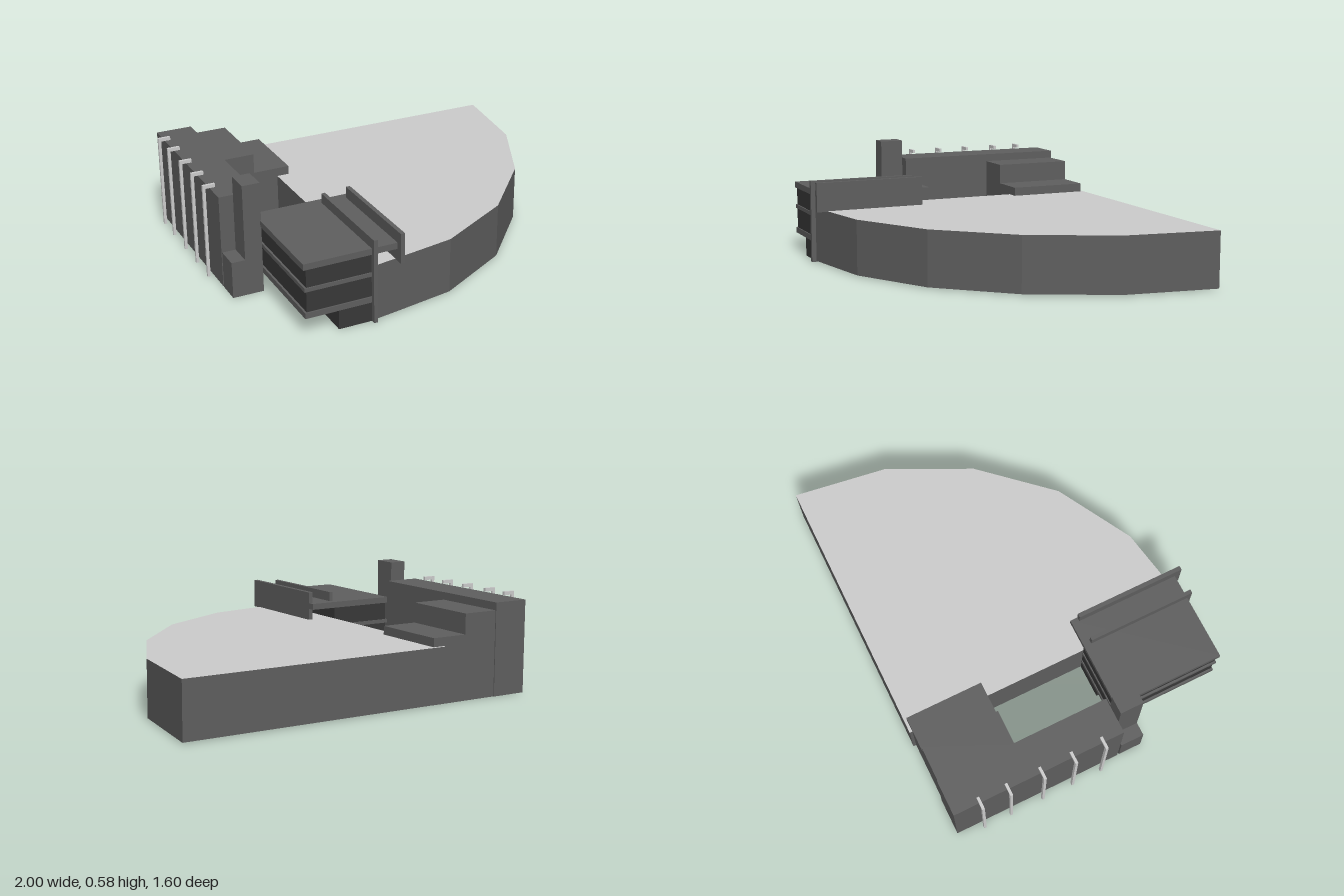
import * as THREE from 'three';

const paint = (color) => new THREE.MeshStandardMaterial({ color, flatShading: true });

export function createModel() {
  const model = new THREE.Group();
  const dark = paint(0x5e5e5e);
  const panel = paint(0x383838);
  const light = paint(0xcccccc);

  // Box given by its limits on each axis
  function block(name, [x0, x1], [y0, y1], [z0, z1], material = dark, parent = model) {
    const mesh = new THREE.Mesh(new THREE.BoxGeometry(x1 - x0, y1 - y0, z1 - z0), material);
    mesh.position.set((x0 + x1) / 2, (y0 + y1) / 2, (z0 + z1) / 2);
    mesh.name = name;
    parent.add(mesh);
    return mesh;
  }

  // Fan-shaped deck in two stacked bands, with a pale top
  const outline = [
    [-0.45, -0.8], [1, -0.8], [0.93, -0.31], [0.72, 0.12],
    [0.4, 0.47], [0, 0.69], [-0.31, 0.745], [-0.45, 0.768],
  ];
  const fan = new THREE.Shape(outline.map(([x, z]) => new THREE.Vector2(x, -z)).reverse());
  function band(name, y0, y1, materials) {
    const geometry = new THREE.ExtrudeGeometry(fan, { depth: y1 - y0, bevelEnabled: false });
    geometry.rotateX(-Math.PI / 2);
    const mesh = new THREE.Mesh(geometry, materials);
    mesh.position.y = y0;
    mesh.name = name;
    model.add(mesh);
  }
  band('lowerDeck', 0.005, 0.148, [dark, dark]);
  band('upperDeck', 0.148, 0.29, [light, dark]);

  // Long rear hall stepping down towards the deck
  const hall = new THREE.Group();
  hall.name = 'rearHall';
  model.add(hall);
  block('hallMain', [-0.96, -0.77], [0, 0.48], [-0.79, 0.13], dark, hall);
  block('hallMiddleStep', [-0.77, -0.58], [0, 0.44], [-0.785, -0.37], dark, hall);
  block('hallLowStep', [-0.58, -0.385], [0, 0.335], [-0.785, -0.37], dark, hall);

  // Hooked pipes along the outer wall of the hall
  for (const z of [-0.65, -0.5, -0.32, -0.15, 0.015]) {
    const pipe = new THREE.Group();
    pipe.name = 'wallPipe';
    model.add(pipe);
    block('pipeUpright', [-1, -0.985], [0.01, 0.505], [z - 0.007, z + 0.007], light, pipe);
    block('pipeHook', [-0.985, -0.935], [0.487, 0.505], [z - 0.007, z + 0.007], light, pipe);
  }

  // Tower with a low annex
  block('tower', [-0.89, -0.8], [0, 0.58], [0.14, 0.265]);
  block('towerAnnex', [-0.96, -0.89], [0, 0.19], [0.14, 0.265]);

  // Front building: floors overhanging a narrower base
  const front = new THREE.Group();
  front.name = 'frontBuilding';
  model.add(front);
  block('base', [-0.63, -0.45], [0, 0.1], [0.18, 0.765], panel, front);
  for (const [y0, y1] of [[0.13, 0.237], [0.257, 0.35]]) {
    block('storey', [-0.79, -0.45], [y0, y1], [0.18, 0.762], panel, front);
  }
  for (const [y0, y1] of [[0.1, 0.13], [0.237, 0.257]]) {
    block('floorSlab', [-0.8, -0.45], [y0, y1], [0.175, 0.768], dark, front);
  }
  block('roof', [-0.805, -0.305], [0.35, 0.382], [0.175, 0.768], dark, front);

  // Two upright fins across the roof, one carried by a post at the front
  block('innerFin', [-0.46, -0.44], [0.35, 0.432], [0.215, 0.79], dark, front);
  block('finPost', [-0.46, -0.44], [0, 0.35], [0.765, 0.79], dark, front);
  block('outerFin', [-0.327, -0.305], [0.287, 0.44], [0.215, 0.8], dark, front);

  return model;
}
